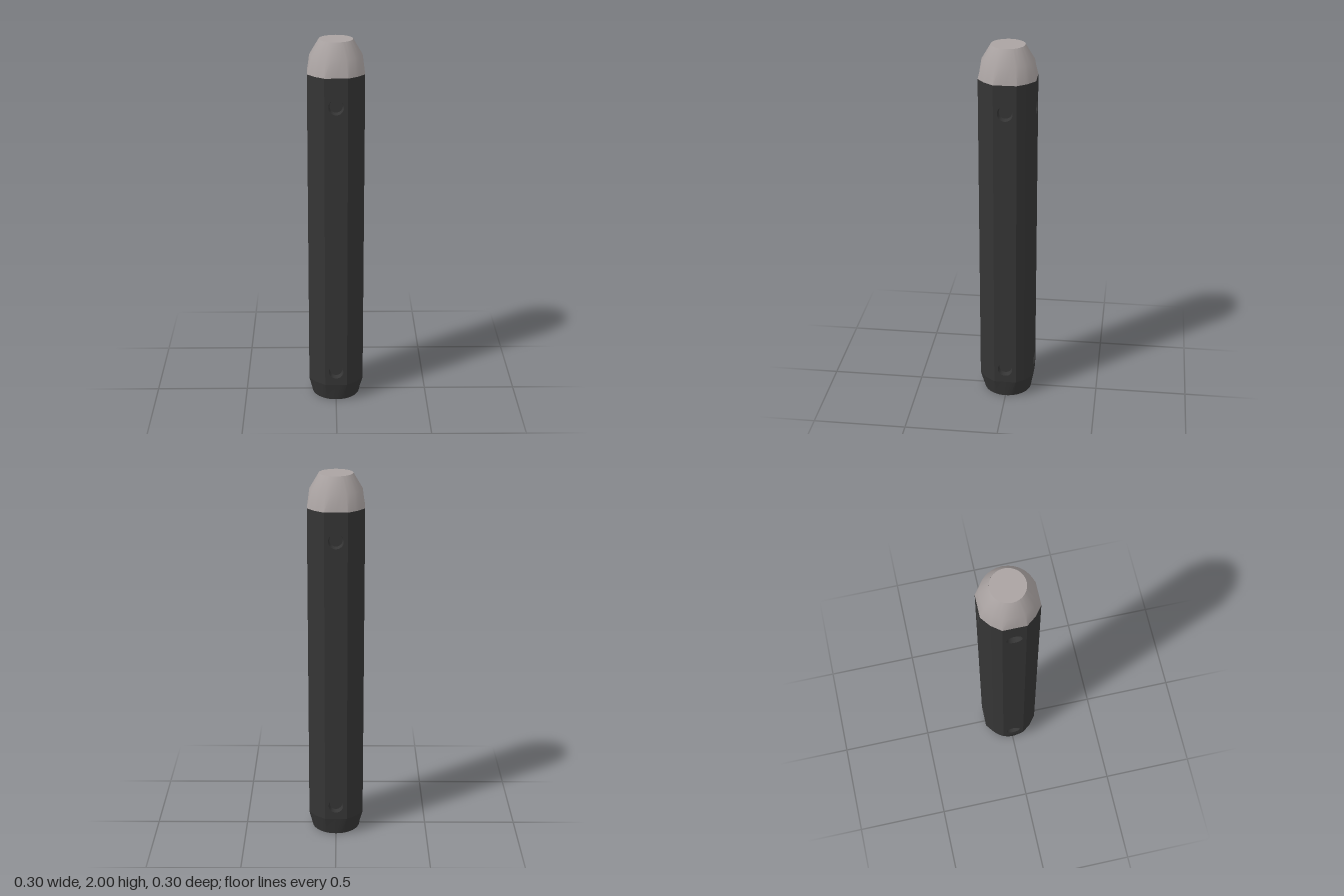
import * as THREE from 'three';
import { toCreasedNormals } from 'three/addons/utils/BufferGeometryUtils.js';

const FLAT = 0.148, HALF = 0.06, DIAG = 0.11; // round bar with four milled flats
const SUB = 4;                                // points per section edge
const SHOULDER = 0.1, SEAM = 1.83;            // straight part of the body
const HOLE_R = 0.04, HOLE_Y = [0.18, 1.68];

// Section outline, counter-clockwise from above; every third edge is a flat
function flattedSection() {
  const corners = [];
  for (let q = 0; q < 4; q++) {
    const c = Math.round(Math.cos(q * Math.PI / 2)), s = Math.round(Math.sin(q * Math.PI / 2));
    for (const [u, v] of [[FLAT, -HALF], [FLAT, HALF], [DIAG, DIAG]]) {
      corners.push(new THREE.Vector2(u * c - v * s, u * s + v * c));
    }
  }
  const points = [];
  corners.forEach((a, i) => {
    const b = corners[(i + 1) % corners.length];
    for (let k = 0; k < SUB; k++) points.push(a.clone().lerp(b, k / SUB));
  });
  return points;
}

const section = flattedSection();
const circle = (r) => section.map((p) => p.clone().setLength(r));

// Skin through [outline, y] rings, optionally leaving out some columns
function loft(rings, keep = () => true, crease = 0.5) {
  const n = section.length, positions = [], index = [];
  rings.forEach(([outline, y]) => outline.forEach((p) => positions.push(p.x, y, -p.y)));
  for (let i = 0; i < rings.length - 1; i++) {
    for (let j = 0; j < n; j++) {
      if (!keep(j)) continue;
      const a = i * n + j, b = i * n + (j + 1) % n;
      index.push(a, b, b + n, a, b + n, a + n);
    }
  }
  const geometry = new THREE.BufferGeometry();
  geometry.setAttribute('position', new THREE.Float32BufferAttribute(positions, 3));
  geometry.setIndex(index);
  return toCreasedNormals(geometry, crease);
}

// Flat strip with two round openings
function flatPanelGeometry() {
  const shape = new THREE.Shape();
  shape.moveTo(-HALF, SHOULDER).lineTo(HALF, SHOULDER).lineTo(HALF, SEAM).lineTo(-HALF, SEAM).closePath();
  for (const y of HOLE_Y) {
    shape.holes.push(new THREE.Path().absarc(0, y, HOLE_R, 0, Math.PI * 2, true));
  }
  return new THREE.ShapeGeometry(shape, 16);
}

export function createModel() {
  const model = new THREE.Group();
  model.name = 'pin';
  const dark = new THREE.MeshStandardMaterial({ color: 0x353535, side: THREE.DoubleSide });
  const light = new THREE.MeshStandardMaterial({ color: 0xaaa3a2 });

  const add = (name, geometry, material, parent = model) => {
    const mesh = new THREE.Mesh(geometry, material);
    mesh.name = name;
    parent.add(mesh);
    return mesh;
  };

  // Body: tapered foot, rounded corners, drilled flats
  const isCorner = (j) => Math.floor(j / SUB) % 3 !== 0;
  add('foot', loft([[circle(0.13), 0], [section, SHOULDER]]), dark);
  add('bodyCorners', loft([[section, SHOULDER], [section, SEAM]], isCorner), dark);

  const panel = flatPanelGeometry();
  const recess = new THREE.LatheGeometry(
    [new THREE.Vector2(HOLE_R, 0), new THREE.Vector2(0.034, -0.03)], 32);
  const recessFloor = new THREE.CircleGeometry(0.034, 32);
  for (let q = 0; q < 4; q++) {
    const side = new THREE.Group();
    side.name = 'drilledFlat';
    side.rotation.y = q * Math.PI / 2;
    add('flat', panel, dark, side).position.z = FLAT;
    for (const y of HOLE_Y) {
      const wall = add('holeWall', recess, dark, side);
      wall.position.set(0, y, FLAT);
      wall.rotation.x = Math.PI / 2;
      add('holeFloor', recessFloor, dark, side).position.set(0, y, FLAT - 0.03);
    }
    model.add(side);
  }

  // Bore open at the bottom, with the rim around it
  const bore = [[0.13, 0], [0.107, 0], [0.107, 1.75], [0, 1.75]].map(([x, y]) => new THREE.Vector2(x, y));
  add('bore', toCreasedNormals(new THREE.LatheGeometry(bore, 48), 0.5), dark);

  // Cap: flatted at the seam, round towards the tip
  add('cap', loft([[section, SEAM], [circle(0.136), 1.92], [circle(0.088), 2]], undefined, 0.62), light);
  const tip = add('capTop', new THREE.CircleGeometry(0.088, 48), light);
  tip.rotation.x = -Math.PI / 2;
  tip.position.y = 2;

  return model;
}
